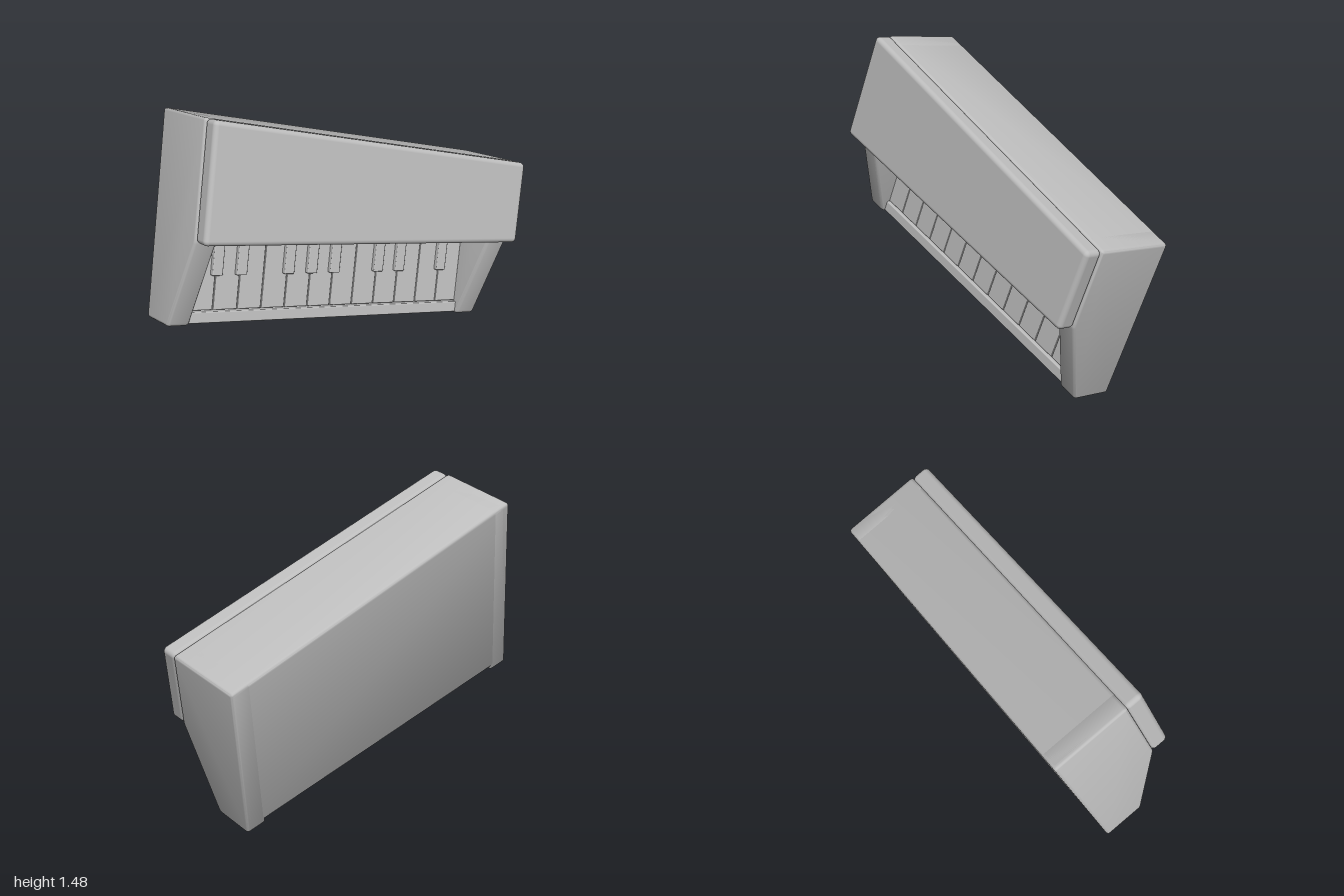
import * as THREE from 'three';
import { toCreasedNormals } from 'three/addons/utils/BufferGeometryUtils.js';
import { RoundedBoxGeometry } from 'three/addons/geometries/RoundedBoxGeometry.js';

const HALF = 0.92;        // half length of the case
const TOP = 0.938;        // height of the case at mid length
const SLOPE = 0.086;      // fall of the top from the right end to the left end
const DEPTH = 0.422;
const LEG = 0.115;        // thickness of the end panels
const KEY_TOP = 0.46;

// Side outline (x = depth, y = height) with rounded corners
function roundedShape(points, r) {
  const s = new THREE.Shape();
  const v = points.map(p => new THREE.Vector2(...p));
  v.forEach((p, i) => {
    const prev = v[(i + v.length - 1) % v.length];
    const next = v[(i + 1) % v.length];
    const a = p.clone().add(prev.clone().sub(p).setLength(r));
    const b = p.clone().add(next.clone().sub(p).setLength(r));
    if (i === 0) s.moveTo(a.x, a.y); else s.lineTo(a.x, a.y);
    s.quadraticCurveTo(p.x, p.y, b.x, b.y);
  });
  s.closePath();
  return s;
}

// Tilt the top: only vertices near the top move
function slopeTop(geo) {
  const pos = geo.attributes.position;
  for (let i = 0; i < pos.count; i++) {
    if (pos.getY(i) > 0.8) pos.setY(i, pos.getY(i) - SLOPE * pos.getX(i));
  }
  return toCreasedNormals(geo, 0.6);
}

// Outline extruded along x between x0 and x1
function extrudeAlongX(shape, x0, x1, bevel) {
  const geo = new THREE.ExtrudeGeometry(shape, {
    depth: x1 - x0 - 2 * bevel, curveSegments: 4,
    bevelEnabled: bevel > 0, bevelSize: bevel, bevelThickness: bevel, bevelOffset: -bevel, bevelSegments: 3,
  });
  geo.rotateY(-Math.PI / 2);
  geo.translate(x1 - bevel, 0, 0);
  return slopeTop(geo);
}

export function createModel() {
  const grey = new THREE.MeshStandardMaterial({ color: 0xbcbcbc });
  grey.name = 'light grey';
  const piano = new THREE.Group();
  piano.name = 'toyPiano';

  const add = (name, geo) => {
    const mesh = new THREE.Mesh(geo, grey);
    mesh.name = name;
    piano.add(mesh);
  };
  const block = (name, x0, x1, y0, y1, z0, z1, r) => {
    const geo = new RoundedBoxGeometry(x1 - x0, y1 - y0, z1 - z0, 3, r);
    geo.translate((x0 + x1) / 2, (y0 + y1) / 2, (z0 + z1) / 2);
    add(name, geo);
  };

  // End panels that form the legs
  const side = roundedShape([[0, 0], [0.217, 0], [DEPTH, 0.45], [DEPTH, TOP], [0, TOP]], 0.018);
  add('rightEndPanel', extrudeAlongX(side, -HALF, -HALF + LEG, 0.014));
  add('leftEndPanel', extrudeAlongX(side, HALF - LEG, HALF, 0.014));

  // Upper case and back panel between the legs
  const caseShape = roundedShape(
    [[0, 0.022], [0.15, 0.022], [0.15, KEY_TOP], [DEPTH, KEY_TOP], [DEPTH, TOP], [0, TOP]], 0.018);
  add('case', extrudeAlongX(caseShape, -HALF + 0.02, HALF - 0.02, 0));

  // Front board with soft edges, following the sloped top
  const lid = new RoundedBoxGeometry(1.834, TOP - 0.442, 0.095, 4, 0.024);
  lid.translate(0, (TOP + 0.442) / 2, 0.4655);
  const pos = lid.attributes.position;
  for (let i = 0; i < pos.count; i++) {
    if (pos.getY(i) > 0.7) pos.setY(i, pos.getY(i) - SLOPE * pos.getX(i));
  }
  add('frontBoard', lid);

  // Key rail
  const inner = HALF - LEG;
  block('keyRail', -inner - 0.01, inner + 0.01, 0.006, 0.062, 0.12, 0.203, 0.006);

  // Twelve white keys
  const w = 2 * inner / 12;
  for (let i = 0; i < 12; i++) {
    const x = -inner + i * w;
    block('whiteKey', x + 0.002, x + w - 0.002, 0.068, KEY_TOP + 0.01, 0.14, 0.192, 0.003);
  }
  // Raised keys over the seams
  for (const i of [1, 2, 4, 5, 6, 8, 9, 11]) {
    const x = -inner + i * w;
    block('blackKey', x - 0.028, x + 0.028, 0.24, KEY_TOP + 0.01, 0.17, 0.216, 0.005);
  }

  // Tilt the whole instrument
  const u = new THREE.Vector3(0.942, -0.235, 0.241).normalize();
  const f = u.clone().cross(new THREE.Vector3(0.274, 0.953, -0.13)).normalize();
  const up = f.clone().cross(u);
  piano.quaternion.setFromRotationMatrix(new THREE.Matrix4().makeBasis(u, up, f));
  piano.position.set(-0.095, 0.221, -0.1525);

  const model = new THREE.Group();
  model.name = 'model';
  model.add(piano);
  return model;
}
